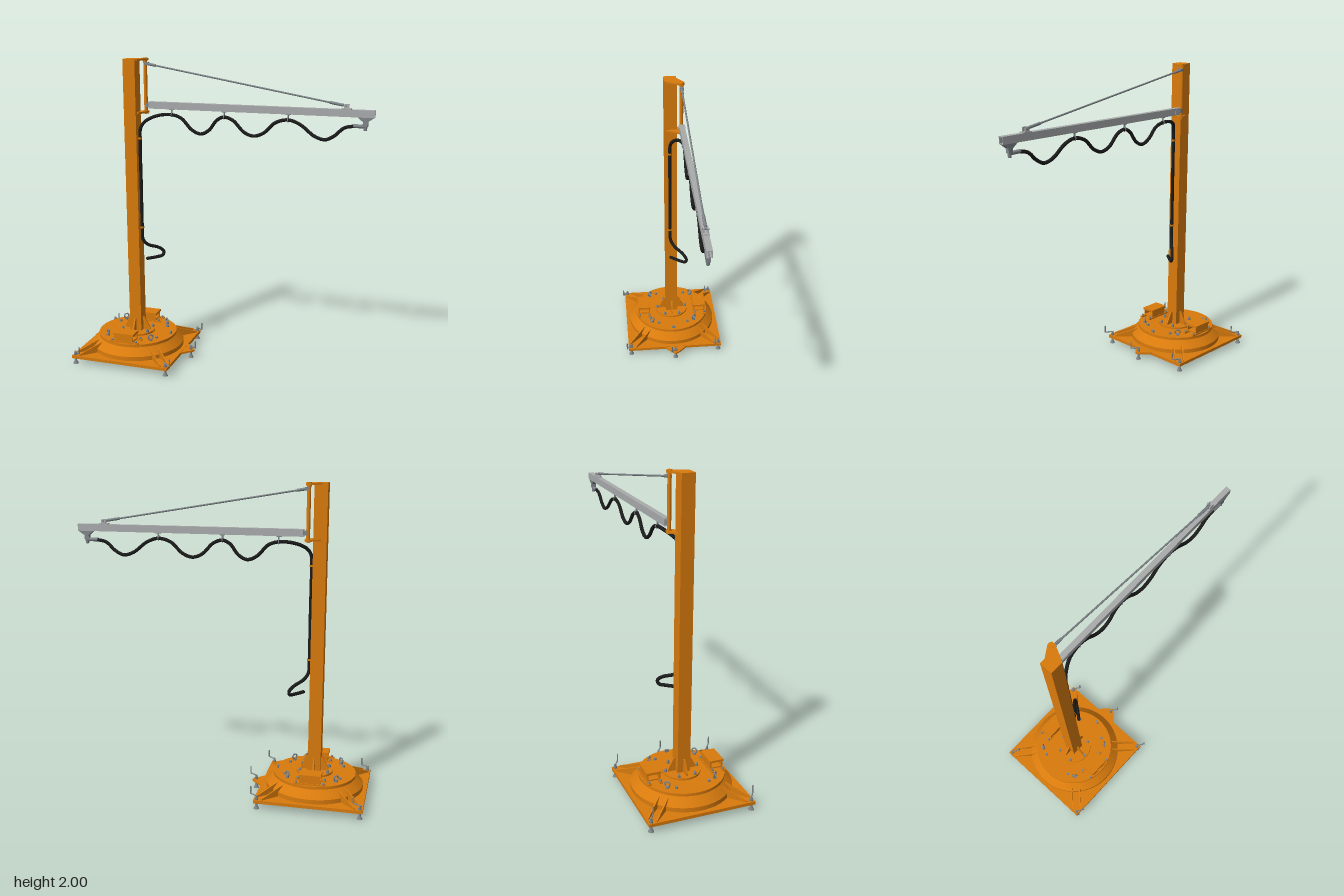
import * as THREE from 'three';

const mat = (name, color) => Object.assign(new THREE.MeshStandardMaterial({ color }), { name });
const V = (x, y, z) => new THREE.Vector3(x, y, z);

export function createModel() {
  const orange = mat('orange paint', 0xd97b0d);
  const light = mat('aluminium', 0xa9abac);
  const steel = mat('steel', 0x7f8589);
  const black = mat('black hose', 0x1b1b1b);
  const root = new THREE.Group();
  root.name = 'jibCrane';
  const CX = -0.606, CZ = -0.012, AZ = -0.079;

  // helpers
  const add = (name, geo, m, x = 0, y = 0, z = 0, parent = root) => {
    const mesh = new THREE.Mesh(geo, m);
    mesh.name = name;
    mesh.position.set(x, y, z);
    parent.add(mesh);
    return mesh;
  };
  const box = (name, m, w, h, d, x, y, z, p) => add(name, new THREE.BoxGeometry(w, h, d), m, x, y, z, p);
  const cyl = (name, m, r0, r1, h, x, y, z, p, n = 16) => add(name, new THREE.CylinderGeometry(r0, r1, h, n), m, x, y, z, p);
  const rod = (name, m, a, b, r, p = root, n = 12) => {
    const d = b.clone().sub(a);
    const mesh = cyl(name, m, r, r, d.length(), 0, 0, 0, p, n);
    mesh.position.copy(a).addScaledVector(d, 0.5);
    mesh.quaternion.setFromUnitVectors(V(0, 1, 0), d.normalize());
    return mesh;
  };
  const poly = (pts) => new THREE.Shape(pts.map(([x, y]) => new THREE.Vector2(x, y)));
  const slab = (pts, depth) => new THREE.ExtrudeGeometry(poly(pts), { depth, bevelEnabled: false });
  // horizontal plate from [x, z] points, rising from its base
  const plate = (name, pts, h, x, y, z, p) => {
    const g = slab(pts.map(([a, b]) => [a, -b]), h).rotateX(-Math.PI / 2);
    return add(name, g, orange, x, y, z, p);
  };

  // base
  const base = new THREE.Group();
  base.name = 'base';
  base.position.set(CX, 0, CZ);
  root.add(base);
  box('basePlate', orange, 0.676, 0.02, 0.676, 0, 0.05, 0, base);
  plate('sideFootPlate', [[0.336, -0.085], [0.395, -0.025], [0.41, 0], [0.395, 0.02], [0.336, 0.075]], 0.012, 0, 0.046, 0, base);
  // each profile section is its own lathe so that the edges stay sharp
  const rings = [[0.312, 0.058], [0.312, 0.088], [0.264, 0.137], [0.264, 0.155], [0, 0.155]];
  for (let i = 0; i < rings.length - 1; i++) {
    const pts = [rings[i], rings[i + 1]].map(([r, y]) => new THREE.Vector2(r, y));
    add('ballastDisc', new THREE.LatheGeometry(pts, 64), orange, 0, 0, 0, base);
  }
  cyl('columnFlange', orange, 0.117, 0.117, 0.014, 0, 0.16, 0, base, 40);

  // paired ribs running to the plate corners
  for (let i = 0; i < 4; i++) {
    const corner = new THREE.Group();
    corner.name = 'cornerRibs';
    corner.rotation.y = Math.PI / 4 + i * Math.PI / 2;
    base.add(corner);
    for (const s of [-1, 1])
      add('cornerRib', slab([[0.25, 0.058], [0.435, 0.058], [0.435, 0.068], [0.28, 0.125], [0.25, 0.125]], 0.008), orange, 0, 0, s * 0.028 - 0.004, corner);
  }

  // levelling feet with cranks
  const foot = (x, z) => {
    const g = new THREE.Group();
    g.name = 'levellingFoot';
    g.position.set(x, 0, z);
    base.add(g);
    cyl('footPad', steel, 0.012, 0.018, 0.012, 0, 0.006, 0, g);
    cyl('footNeck', steel, 0.007, 0.011, 0.014, 0, 0.019, 0, g);
    cyl('footScrew', steel, 0.007, 0.007, 0.075, 0, 0.05, 0, g);
    cyl('footNut', steel, 0.012, 0.012, 0.012, 0, 0.066, 0, g, 6);
    rod('crankArm', steel, V(-0.006, 0.085, -0.004), V(0.044, 0.085, 0.031), 0.004, g);
    rod('crankHandle', steel, V(0.043, 0.083, 0.03), V(0.043, 0.132, 0.03), 0.0045, g);
  };
  for (const sx of [-1, 1]) for (const sz of [-1, 1]) foot(sx * 0.32, sz * 0.32);
  foot(0.384, 0);

  // forklift pockets
  for (const s of [-1, 1]) {
    const g = new THREE.Group();
    g.name = 'forkPocket';
    g.position.set(0, 0.155, s * 0.205);
    base.add(g);
    for (const e of [-1, 1]) {
      box('pocketFoot', orange, 0.2, 0.01, 0.018, 0, 0.005, e * 0.036, g);
      box('pocketWall', orange, 0.13, 0.06, 0.008, 0, 0.032, e * 0.037, g);
      for (const x of [-0.085, 0.085]) cyl('pocketBolt', steel, 0.008, 0.008, 0.012, x, 0.014, e * 0.036, g, 6);
    }
    box('pocketFloor', orange, 0.13, 0.008, 0.08, 0, 0.014, 0, g);
    box('pocketTop', orange, 0.14, 0.015, 0.092, 0, 0.058, 0, g);
  }

  // bolts and lifting eyes
  const ring = (n, r, a0, make) => {
    for (let i = 0; i < n; i++) {
      const a = a0 + i * 2 * Math.PI / n;
      make(r * Math.cos(a), r * Math.sin(a), a);
    }
  };
  ring(6, 0.103, Math.PI / 6, (x, z) => {
    cyl('flangeBolt', steel, 0.01, 0.01, 0.014, x, 0.174, z, base, 6);
    cyl('flangeStud', steel, 0.005, 0.005, 0.024, x, 0.178, z, base, 10);
  });
  for (const sx of [-1, 1]) for (const sz of [-1, 1]) cyl('discBolt', steel, 0.01, 0.01, 0.014, sx * 0.176, 0.161, sz * 0.105, base, 6);
  ring(4, 0.218, Math.PI / 4, (x, z, a) => {
    cyl('eyeCollar', steel, 0.012, 0.012, 0.01, x, 0.159, z, base);
    add('liftingEye', new THREE.TorusGeometry(0.016, 0.005, 8, 20), steel, x, 0.18, z, base).rotation.y = Math.PI / 2 - a;
  });
  box('discLug', steel, 0.01, 0.02, 0.025, 0.24, 0.163, 0, base);

  // column and its gussets
  box('column', orange, 0.082, 1.835, 0.082, CX, 1.0785, CZ);
  for (let i = 0; i < 4; i++) {
    const g = slab([[0.03, 0.165], [0.09, 0.165], [0.09, 0.18], [0.05, 0.255], [0.03, 0.255]], 0.01).translate(0, 0, -0.005);
    add('columnGusset', g, orange, 0, 0, 0, base).rotation.y = i * Math.PI / 2;
  }

  // pivot bracket
  const PX = -0.537;
  const lug = [[-0.57, 0.022], [-0.555, 0.01], [-0.518, -0.068], [-0.518, -0.088], [-0.53, -0.098], [-0.548, -0.096], [-0.615, -0.052], [-0.57, -0.04]];
  for (const y of [1.648, 1.984]) {
    plate('pivotLug', lug, 0.012, 0, y, 0);
    cyl('pivotNut', orange, 0.016, 0.016, 0.022, PX, y + 0.005, AZ);
  }
  cyl('pivotTube', orange, 0.012, 0.012, 0.34, PX, 1.822, AZ, root, 24);

  // arm: a rail open underneath
  const rail = [[-0.017, 1.677], [-0.005, 1.677], [-0.005, 1.682], [-0.013, 1.682], [-0.013, 1.716], [0.013, 1.716],
    [0.013, 1.682], [0.005, 1.682], [0.005, 1.677], [0.017, 1.677], [0.017, 1.721], [-0.017, 1.721]];
  add('armRail', slab(rail, 1.45).rotateY(Math.PI / 2), light, -0.512, 0, AZ);
  box('armRoot', steel, 0.075, 0.026, 0.024, -0.5, 1.699, AZ);
  for (const s of [-1, 1]) box('armRootCheek', light, 0.05, 0.034, 0.004, -0.485, 1.7, AZ + s * 0.018);

  // tie rod with end fittings
  const a = V(-0.53, 1.962, AZ), b = V(0.765, 1.742, AZ);
  const at = (t) => a.clone().lerp(b, t);
  rod('tieRod', steel, a, b, 0.0055);
  rod('tieRodUpperClevis', steel, at(0.005), at(0.05), 0.009);
  rod('tieRodTurnbuckle', steel, at(0.92), at(0.985), 0.009);
  box('tieRodUpperMount', steel, 0.03, 0.018, 0.026, -0.528, 1.962, AZ);
  box('tieRodSaddle', light, 0.06, 0.006, 0.036, 0.765, 1.724, AZ);
  for (const s of [-1, 1]) box('tieRodLowerLug', light, 0.03, 0.03, 0.006, 0.765, 1.737, AZ + s * 0.012);
  rod('tieRodPin', steel, V(0.765, 1.742, AZ - 0.019), V(0.765, 1.742, AZ + 0.019), 0.005);

  // hose hangers
  for (const x of [-0.36, -0.008, 0.405]) {
    box('hangerTrolley', steel, 0.03, 0.01, 0.02, x, 1.677, AZ);
    box('hangerStem', steel, 0.008, 0.03, 0.008, x, 1.662, AZ);
    add('hangerLoop', new THREE.TorusGeometry(0.0125, 0.003, 8, 16), steel, x, 1.641, AZ).rotation.y = Math.PI / 2;
  }

  // end stop and hose outlet
  add('endBracket', slab([[0.835, 1.677], [0.935, 1.677], [0.9, 1.652], [0.865, 1.652]], 0.03), steel, 0, 0, AZ - 0.015);
  box('outletBlock', steel, 0.03, 0.03, 0.026, 0.882, 1.638, AZ);
  rod('outletTube', steel, V(0.81, 1.623, AZ), V(0.885, 1.621, AZ), 0.012);
  cyl('outletNozzle', steel, 0.013, 0.01, 0.03, 0.882, 1.612, AZ);

  // hose: loose tail, run up the column, loops under the arm
  const HX = -0.553, HZ = -0.004;
  const path = [
    [-0.52, 0.68, HZ], [-0.475, 0.679, -0.06], [-0.447, 0.684, -0.1], [-0.444, 0.708, -0.108], [-0.47, 0.738, -0.085],
    [-0.525, 0.77, -0.03], [-0.55, 0.81, -0.006], [HX, 0.88, HZ], [HX, 1.2, HZ], [HX, 1.48, HZ], [-0.548, 1.56, -0.008],
    [-0.52, 1.602, -0.03], [-0.45, 1.634, -0.065], [-0.36, 1.641, AZ], [-0.295, 1.62, AZ], [-0.225, 1.55, AZ], [-0.165, 1.526, AZ],
    [-0.11, 1.552, AZ], [-0.055, 1.62, AZ], [-0.008, 1.641, AZ], [0.05, 1.622, AZ], [0.125, 1.55, AZ], [0.187, 1.53, AZ],
    [0.25, 1.552, AZ], [0.325, 1.62, AZ], [0.405, 1.641, AZ], [0.48, 1.617, AZ], [0.575, 1.547, AZ], [0.64, 1.53, AZ],
    [0.695, 1.556, AZ], [0.755, 1.608, AZ], [0.825, 1.623, AZ]];
  const curve = new THREE.CatmullRomCurve3(path.map((p) => V(...p)), false, 'centripetal');
  add('hose', new THREE.TubeGeometry(curve, 320, 0.0108, 12), black);
  for (const t of [0, 1]) add('hoseEnd', new THREE.SphereGeometry(0.0107, 12, 8), black, ...curve.getPoint(t).toArray());
  for (const y of [0.895, 1.49]) cyl('hoseClamp', orange, 0.0135, 0.0135, 0.012, HX, y, HZ);

  return root;
}
